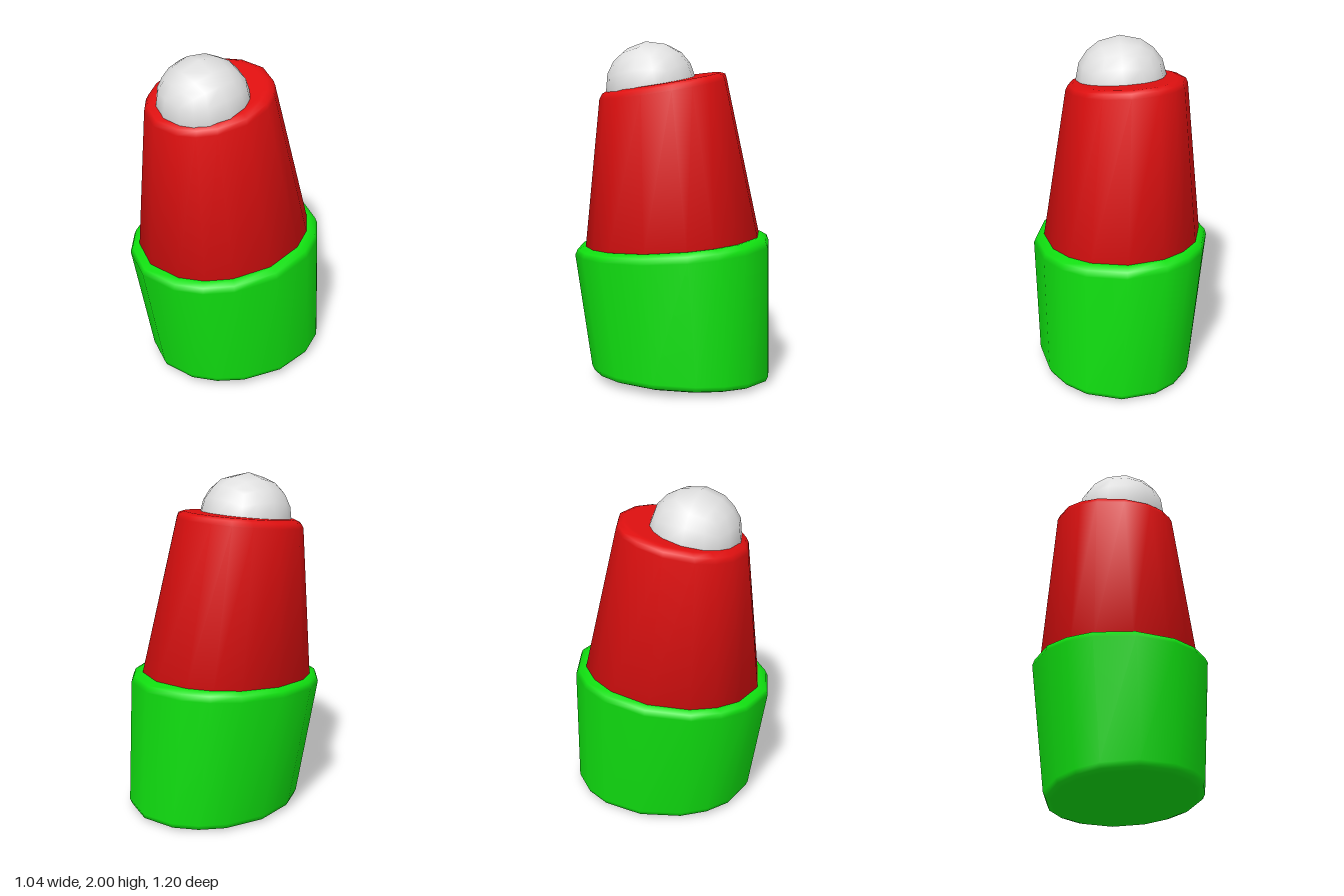
import * as THREE from 'three';

const green = new THREE.MeshStandardMaterial({ color: 0x10e010 });
green.name = 'green';
const red = new THREE.MeshStandardMaterial({ color: 0xe01010 });
red.name = 'red';
const white = new THREE.MeshStandardMaterial({ color: 0xe0e0e0 });
white.name = 'white';

// Sixteen directions of a rounded square grid, turned slightly about y
const steps = [0, Math.atan(0.5), Math.PI / 4, Math.atan(2)];
const angles = [];
for (let q = 0; q < 4; q++) for (const s of steps) angles.push(q * Math.PI / 2 + s + 0.035);

// Joins tilted elliptical rings: [centre x, y, centre z, radius x, radius z, slope x, slope z]
function loft(rings) {
  const n = angles.length, pos = [], index = [];
  for (const [cx, y, cz, rx, rz, sx, sz] of rings) {
    for (const a of angles) {
      const x = cx + rx * Math.sin(a), z = cz - rz * Math.cos(a);
      pos.push(x, y + sx * x + sz * z, z);
    }
  }
  for (let r = 0; r < rings.length - 1; r++) {
    for (let i = 0; i < n; i++) {
      const a = r * n + i, b = r * n + (i + 1) % n;
      index.push(a, a + n, b, b, a + n, b + n);
    }
  }
  const geo = new THREE.BufferGeometry();
  geo.setAttribute('position', new THREE.Float32BufferAttribute(pos, 3));
  geo.setIndex(index);
  geo.computeVertexNormals();
  return geo;
}

// Ball made from a subdivided cube pushed out to a sphere
function cubeSphere(radius) {
  const geo = new THREE.BoxGeometry(2, 2, 2, 4, 4, 4);
  const p = geo.attributes.position, v = new THREE.Vector3();
  for (let i = 0; i < p.count; i++) {
    v.fromBufferAttribute(p, i).normalize();
    geo.attributes.normal.setXYZ(i, v.x, v.y, v.z);
    v.multiplyScalar(radius);
    p.setXYZ(i, v.x, v.y, v.z);
  }
  return geo;
}

export function createModel() {
  const group = new THREE.Group();
  const add = (name, geo, mat) => {
    const mesh = new THREE.Mesh(geo, mat);
    mesh.name = name;
    group.add(mesh);
    return mesh;
  };

  // Wide base with rounded rims
  add('base', loft([
    [0.035, 0.018, -0.055, 0, 0, 0.03, 0.02],
    [0.035, 0.018, -0.055, 0.4, 0.48, 0.03, 0.02],
    [0.035, 0.018, -0.055, 0.42, 0.5, 0.03, 0.02],
    [0.035, 0.03, -0.055, 0.453, 0.533, 0.03, 0.02],
    [0.035, 0.06, -0.055, 0.466, 0.546, 0.03, 0.02],
    [0, 0.778, 0.01, 0.52, 0.592, -0.02, -0.06],
    [-0.002, 0.812, 0.01, 0.508, 0.578, -0.02, -0.065],
    [-0.005, 0.83, 0.01, 0.475, 0.54, -0.02, -0.075],
    [-0.005, 0.83, 0.01, 0.45, 0.51, -0.02, -0.075],
    [-0.005, 0.83, 0.01, 0, 0, -0.02, -0.075],
  ]), green);

  // Tapered, leaning body
  add('body', loft([
    [-0.007, 0.8, 0.01, 0, 0, -0.02, -0.075],
    [-0.007, 0.8, 0.01, 0.47, 0.533, -0.02, -0.075],
    [-0.045, 1.733, 0.082, 0.355, 0.383, -0.04, -0.155],
    [-0.045, 1.762, 0.078, 0.342, 0.37, -0.04, -0.155],
    [-0.045, 1.777, 0.075, 0.305, 0.335, -0.04, -0.155],
    [-0.045, 1.777, 0.075, 0.28, 0.31, -0.04, -0.155],
    [-0.045, 1.777, 0.075, 0, 0, -0.04, -0.155],
  ]), red);

  // Round tip
  const tip = add('tip', cubeSphere(0.272), white);
  tip.position.set(-0.02, 1.73, 0.147);
  tip.rotation.set(0.12, -0.05, -0.03);
  return group;
}
